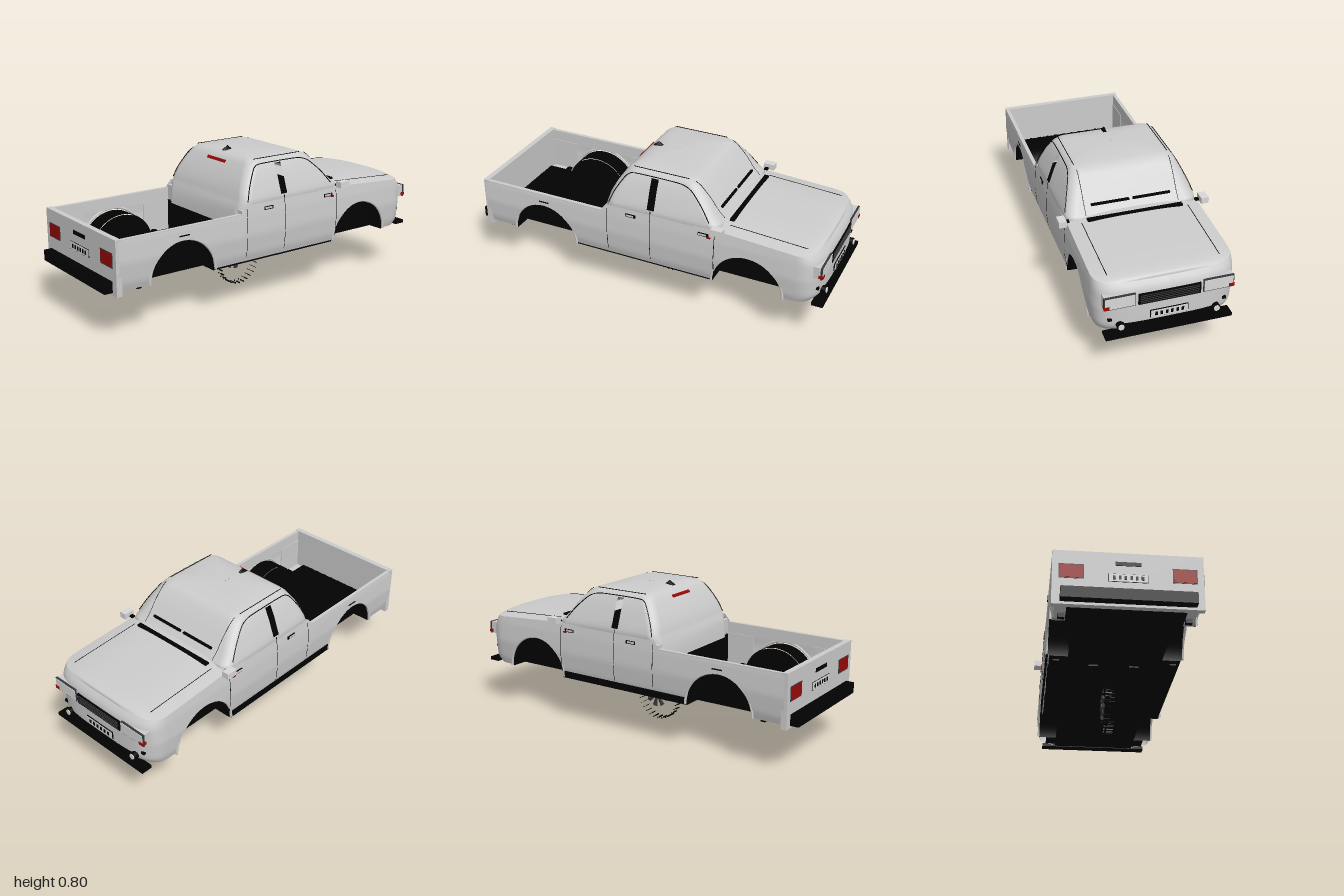
import * as THREE from 'three';

const flat = (name, color, side = THREE.FrontSide) => {
  const m = new THREE.MeshStandardMaterial({ color, side });
  m.name = name;
  return m;
};
const lerpTable = (table, v, col = 1) => {
  if (v <= table[0][0]) return table[0][col];
  for (let i = 1; i < table.length; i++) {
    const a = table[i - 1], b = table[i];
    if (v <= b[0]) return a[col] + (b[col] - a[col]) * (v - a[0]) / (b[0] - a[0]);
  }
  return table[table.length - 1][col];
};

// Indexed grid surface with smooth normals; skip() leaves openings
function surface(rows, cols, at, skip = () => false) {
  const pos = [], idx = [];
  for (let j = 0; j <= rows; j++) for (let i = 0; i <= cols; i++) pos.push(...at(i, j));
  for (let j = 0; j < rows; j++) for (let i = 0; i < cols; i++) {
    if (skip(i, j)) continue;
    const a = j * (cols + 1) + i, b = a + cols + 1;
    idx.push(a, a + 1, b, a + 1, b + 1, b);
  }
  const g = new THREE.BufferGeometry();
  g.setAttribute('position', new THREE.Float32BufferAttribute(pos, 3));
  g.setIndex(idx);
  g.computeVertexNormals();
  return g;
}

const ARCHES = [-0.575, 0.605], ARCH_R = 0.192, ARCH_Y = 0.262;
const bodyWidth = [[0.25, 0.335], [0.3, 0.35], [0.4, 0.36], [0.5, 0.355], [0.58, 0.345]];
const bodyTop = x => x < -0.22 ? 0.52 : x < -0.19 ? 0.52 + (x + 0.22) * 1.333
  : x < 0.44 ? 0.56 + Math.max(0, x - 0.3) * 0.036 : 0.565 - (x - 0.44) * 0.06;
// Cab levels: y, rear x, front x, half width
const cab = [[0.44, -0.226, 0.4, 0.336], [0.52, -0.22, 0.42, 0.338], [0.56, -0.203, 0.46, 0.346],
  [0.585, -0.195, 0.438, 0.344], [0.62, -0.185, 0.403, 0.331], [0.68, -0.155, 0.36, 0.31],
  [0.74, -0.115, 0.305, 0.282], [0.76, -0.095, 0.275, 0.264], [0.771, -0.07, 0.24, 0.235],
  [0.778, -0.02, 0.15, 0.13], [0.779, 0.045, 0.085, 0.001]];

export function createModel() {
  const model = new THREE.Group();
  model.name = 'pickupTruck';
  const paint = flat('bodyGrey', 0xcccccc, THREE.DoubleSide);
  const black = flat('black', 0x020202, THREE.DoubleSide);
  const red = flat('lampRed', 0x990808);
  const dark = flat('darkGrey', 0x38383c);
  const lens = flat('lensGrey', 0xd8d8d8);
  const add = (name, geo, mat, x = 0, y = 0, z = 0) => {
    const m = new THREE.Mesh(geo, mat);
    m.name = name;
    m.position.set(x, y, z);
    model.add(m);
    return m;
  };
  // Box given by its limits
  const box = (name, mat, x0, x1, y0, y1, z0, z1) => add(name,
    new THREE.BoxGeometry(x1 - x0, y1 - y0, z1 - z0), mat, (x0 + x1) / 2, (y0 + y1) / 2, (z0 + z1) / 2);
  const pair = (name, mat, x0, x1, y0, y1, z0, z1) => {
    box(name + 'Left', mat, x0, x1, y0, y1, z0, z1);
    box(name + 'Right', mat, x0, x1, y0, y1, -z1, -z0);
  };
  const line = (name, pts, r = 0.0025) => add(name, new THREE.TubeGeometry(
    new THREE.CatmullRomCurve3(pts.map(p => new THREE.Vector3(...p)), false, 'catmullrom', 0.3), 32, r, 5), black);

  // Plan outline of one flank, from the tail to the middle of the nose
  const xs = [-0.94, -0.85, -0.3, -0.22, -0.19, -0.1, 0, 0.1, 0.2, 0.3, 0.36];
  for (const c of ARCHES) for (let k = 0; k <= 24; k++) xs.push(c + ARCH_R * Math.cos(Math.PI * k / 24));
  xs.sort((a, b) => a - b);
  const plan = xs.map(x => [x, 1]);
  for (let k = 1; k <= 14; k++) {
    const a = Math.PI / 2 * k / 14;
    plan.push([0.8 + 0.18 * Math.sqrt(Math.sin(a)), Math.sqrt(Math.max(0, Math.cos(a)))]);
  }
  const ROWS = 16;
  const flank = (i, j, s) => {
    const [px, f] = plan[i];
    let lo = 0.262;
    for (const c of ARCHES) {
      const d = ARCH_R * ARCH_R - (px - c) ** 2;
      if (d > 0) lo = Math.max(lo, ARCH_Y + Math.sqrt(d));
    }
    const y = lo + (bodyTop(px) - lo) * j / ROWS;
    const up = Math.max(0, (y - 0.47) / 0.07), down = Math.max(0, (0.31 - y) / 0.05);
    const x = px > 0.8 ? 0.8 + (px - 0.8) * (1 - 0.2 * up * up - 0.18 * down * down) : px;
    return [x, y, s * f * lerpTable(bodyWidth, y)];
  };
  for (const s of [1, -1]) add(s > 0 ? 'flankLeft' : 'flankRight',
    surface(ROWS, plan.length - 1, (i, j) => flank(s > 0 ? i : plan.length - 1 - i, j, s)), paint);

  // Crowned hood
  const first = plan.findIndex(p => p[0] >= 0.3);
  add('hood', surface(plan.length - 1 - first, 20, (i, j) => {
    const [x, y, z] = flank(first + j, ROWS, 1), s = i / 10 - 1;
    return [x, y + 0.025 * plan[first + j][1] * (1 - Math.abs(s) ** 3), z * s];
  }), paint);

  // Cab shell of stacked rounded outlines, open at the middle pillars
  const ring = ([y, xr, xf, w]) => {
    const r = Math.min(0.055, w * 0.5, (xf - xr) * 0.3), out = [];
    const corner = (cx, cz, a0) => {
      for (let k = 0; k <= 6; k++) {
        const a = a0 + Math.PI / 2 * k / 6;
        out.push([cx + r * Math.cos(a), y, cz + r * Math.sin(a)]);
      }
    };
    corner(xf - r, w - r, 0);
    out.push([0.085, y, w], [0.045, y, w]);
    corner(xr + r, w - r, Math.PI / 2);
    corner(xr + r, r - w, Math.PI);
    out.push([0.045, y, -w], [0.085, y, -w]);
    corner(xf - r, r - w, Math.PI * 1.5);
    out.push(out[0]);
    return out;
  };
  const rings = cab.map(ring);
  add('cab', surface(cab.length - 1, rings[0].length - 1, (i, j) => rings[j][i],
    (i, j) => (i === 7 || i === 23) && j >= 3 && j <= 5), paint);
  box('cabInterior', black, -0.17, 0.39, 0.265, 0.555, -0.325, 0.325);

  // Cargo bed
  box('bedBulkhead', black, -0.224, -0.19, 0.265, 0.45, -0.335, 0.335);
  box('cabCornerFill', paint, -0.212, -0.16, 0.45, 0.535, -0.346, 0.346);
  pair('bedInnerWall', paint, -0.93, -0.22, 0.455, 0.521, 0.333, 0.353);
  for (const [a, b] of [[-0.925, -0.765], [-0.385, -0.22]]) {
    pair('bedLowerWall', paint, a, b, 0.27, 0.46, 0.33, 0.335);
    pair('bedLedge', paint, a, b, 0.268, 0.285, 0.27, 0.334);
    pair('bedFloorSide', black, a, b, 0.254, 0.3, 0.235, 0.28);
  }
  box('bedFloor', black, -0.925, -0.22, 0.262, 0.3, -0.24, 0.24);
  for (let i = -4; i <= 4; i++) box('bedRib', black, -0.92, -0.23, 0.3, 0.306, i * 0.052 - 0.008, i * 0.052 + 0.008);
  box('tailgate', paint, -0.955, -0.925, 0.242, 0.524, -0.354, 0.354);

  // Underbody
  box('underbody', black, -0.925, 0.93, 0.252, 0.264, -0.24, 0.24);
  box('underbodyMiddle', black, -0.385, 0.415, 0.252, 0.266, -0.335, 0.335);
  box('underbodyNose', black, 0.795, 0.9, 0.255, 0.266, -0.3, 0.3);
  box('sillRight', black, -0.385, 0.415, 0.258, 0.295, -0.352, -0.342);
  pair('exhaustHump', black, -0.3, 0.5, 0.244, 0.256, 0.08, 0.13);
  for (const x of [-0.81, -0.335]) pair('bedBracket', black, x - 0.012, x + 0.012, 0.245, 0.3, 0.285, 0.318);

  // Hollow wheel housings and arch lips
  for (const c of ARCHES) for (const s of [1, -1]) {
    const shell = add('wheelHousing', new THREE.CylinderGeometry(0.189, 0.189, 0.105, 32, 1, true, -Math.PI / 2, Math.PI), black, c, 0.256, s * 0.2915);
    shell.rotation.x = -Math.PI / 2;
    add('wheelHousingWall', new THREE.CircleGeometry(0.189, 32, 0, Math.PI), black, c, 0.252, s * 0.24);
    add('archLip', new THREE.TorusGeometry(0.194, 0.007, 6, 32, Math.PI), paint, c, 0.262, s * 0.348);
  }

  // Window, door and hood seams
  const cabZ = y => lerpTable(cab, y, 3) + 0.001;
  for (const s of [1, -1]) {
    const frame = [[-0.175, 0.575], [-0.15, 0.64], [-0.105, 0.715], [-0.06, 0.745], [0.2, 0.745], [0.27, 0.725], [0.34, 0.66], [0.39, 0.595]];
    line('windowFrame', frame.map(([x, y]) => [x, y, s * cabZ(y)]));
    for (const [x, top] of [[-0.185, 0.54], [0.065, 0.58], [0.425, 0.55]])
      line('doorSeam', [0.29, 0.35, 0.42, 0.48, top].map(y => [x, y, s * (lerpTable(bodyWidth, y))]), 0.0018);
    line('hoodSeam', [0.48, 0.62, 0.78, 0.89].map(x => [x, bodyTop(x) + 0.0125, s * 0.28]), 0.0018);
    line('windshieldEdge', cab.slice(3, 8).map(([y, , x]) => [x, y, s * 0.245]), 0.0015);
    line('roofGutter', [[-0.07, 0.768, s * 0.25], [0.08, 0.768, s * 0.25], [0.24, 0.768, s * 0.25]], 0.002);
    for (const x of [-0.045, 0.365]) {
      box('doorHandle', black, x - 0.028, x + 0.028, 0.521, 0.537, s * 0.353 - 0.004, s * 0.353 + 0.004);
      box('handlePlate', paint, x - 0.026, x + 0.018, 0.525, 0.535, s * 0.355 - 0.004, s * 0.355 + 0.004);
    }
    box('sideMarker', red, 0.385, 0.405, 0.515, 0.522, s * 0.355 - 0.004, s * 0.355 + 0.004);
    box('bedSideTrim', black, -0.6, -0.54, 0.474, 0.48, s * 0.357 - 0.002, s * 0.357 + 0.002);
  }
  // Cowl vent flush with the hood, wipers on the glass
  box('cowlVent', black, 0.465, 0.489, 0.58, 0.5905, -0.25, 0.25);
  pair('wiper', black, 0.397, 0.41, 0.617, 0.627, 0.01, 0.21);

  // Mirrors, roof aerial and high brake lamp
  pair('mirror', lens, 0.42, 0.48, 0.565, 0.598, 0.355, 0.395);
  pair('mirrorStalk', black, 0.43, 0.45, 0.568, 0.578, 0.335, 0.356);
  const finGeo = new THREE.ConeGeometry(0.015, 0.026, 4).rotateY(Math.PI / 4).scale(2.8, 1, 1);
  add('aerial', finGeo, black, -0.05, 0.785, 0);
  add('highBrakeLamp', new THREE.BoxGeometry(0.006, 0.016, 0.16), red, -0.122, 0.732, 0).rotation.z = -0.55;

  // Nose: grille, lamps, plate, bumper
  box('grille', black, 0.96, 0.986, 0.418, 0.477, -0.155, 0.155);
  for (let i = 0; i < 5; i++) box('grilleBar', dark, 0.985, 0.989, 0.426 + i * 0.01, 0.429 + i * 0.01, -0.146, 0.146);
  pair('headlampBody', paint, 0.92, 0.976, 0.42, 0.485, 0.17, 0.321);
  pair('headlampFrame', dark, 0.974, 0.984, 0.418, 0.487, 0.168, 0.323);
  pair('headlampLens', lens, 0.976, 0.987, 0.423, 0.482, 0.172, 0.318);
  pair('turnLamp', red, 0.965, 0.99, 0.425, 0.441, 0.297, 0.324);
  pair('noseMarker', black, 0.93, 0.965, 0.335, 0.348, 0.278, 0.297);
  box('frontAirDam', black, 0.92, 0.985, 0.268, 0.315, -0.235, 0.235);
  box('frontBumper', black, 0.94, 1, 0.252, 0.27, -0.318, 0.318);
  for (const s of [1, -1]) {
    for (const [n, r, m, x] of [['fogLampRing', 0.02, black, 0.975], ['fogLamp', 0.015, lens, 0.98]]) {
      add(n, new THREE.CylinderGeometry(r, r, 0.03, 20), m, x, 0.31, s * 0.24).rotation.z = Math.PI / 2;
    }
  }
  const plate = (x, d, y) => {
    box('plateFrame', black, x - 0.004, x + 0.004, y - 0.021, y + 0.021, -0.095, 0.095);
    box('plate', lens, x + d - 0.004, x + d + 0.004, y - 0.019, y + 0.019, -0.092, 0.092);
    for (let i = 0; i < 6; i++) {
      const z = (i - 2.5) * 0.0265;
      box('plateBar', black, x + d * 2 - 0.004, x + d * 2 + 0.004, y - 0.01, y + 0.01, z - 0.006, z + 0.006);
    }
  };
  plate(0.981, 0.002, 0.349);

  // Tail: lamps, plate, handle, bumper
  plate(-0.953, -0.002, 0.39);
  pair('tailLampFrame', dark, -0.9565, -0.95, 0.377, 0.453, 0.207, 0.323);
  pair('tailLamp', red, -0.958, -0.95, 0.382, 0.448, 0.212, 0.318);
  box('tailgateHandle', black, -0.958, -0.95, 0.455, 0.475, -0.06, 0.06);
  box('rearBumper', black, -1, -0.955, 0.255, 0.312, -0.315, 0.315);

  // Loose wheel below the floor: flared spokes, hub and thin tread bars
  for (let k = 0; k < 8; k++) {
    const a = Math.PI * 2 * k / 8 + 0.2;
    const spoke = add('wheelSpoke', new THREE.CylinderGeometry(0.015, 0.007, 0.05, 4), dark, 0.015 + 0.042 * Math.cos(a), 0.145 + 0.042 * Math.sin(a), -0.028);
    spoke.rotation.z = a - Math.PI / 2;
    spoke.scale.z = 0.6;
  }
  add('wheelHub', new THREE.CylinderGeometry(0.02, 0.02, 0.02, 14), dark, 0.015, 0.145, -0.028).rotation.x = Math.PI / 2;
  for (let k = 0; k < 28; k++) {
    const a = Math.PI * 2 * k / 28;
    for (const [w, z] of [[0.034, 0.01], [0.007, -0.022]]) {
      const bar = add('treadBar', new THREE.BoxGeometry(0.002, 0.008, w), black, 0.015 + 0.122 * Math.cos(a), 0.128 + 0.122 * Math.sin(a), z);
      bar.rotation.z = a + Math.PI / 2;
    }
  }

  // Settle on the ground
  const low = new THREE.Box3().setFromObject(model).min.y;
  for (const part of model.children) part.position.y -= low;
  return model;
}
